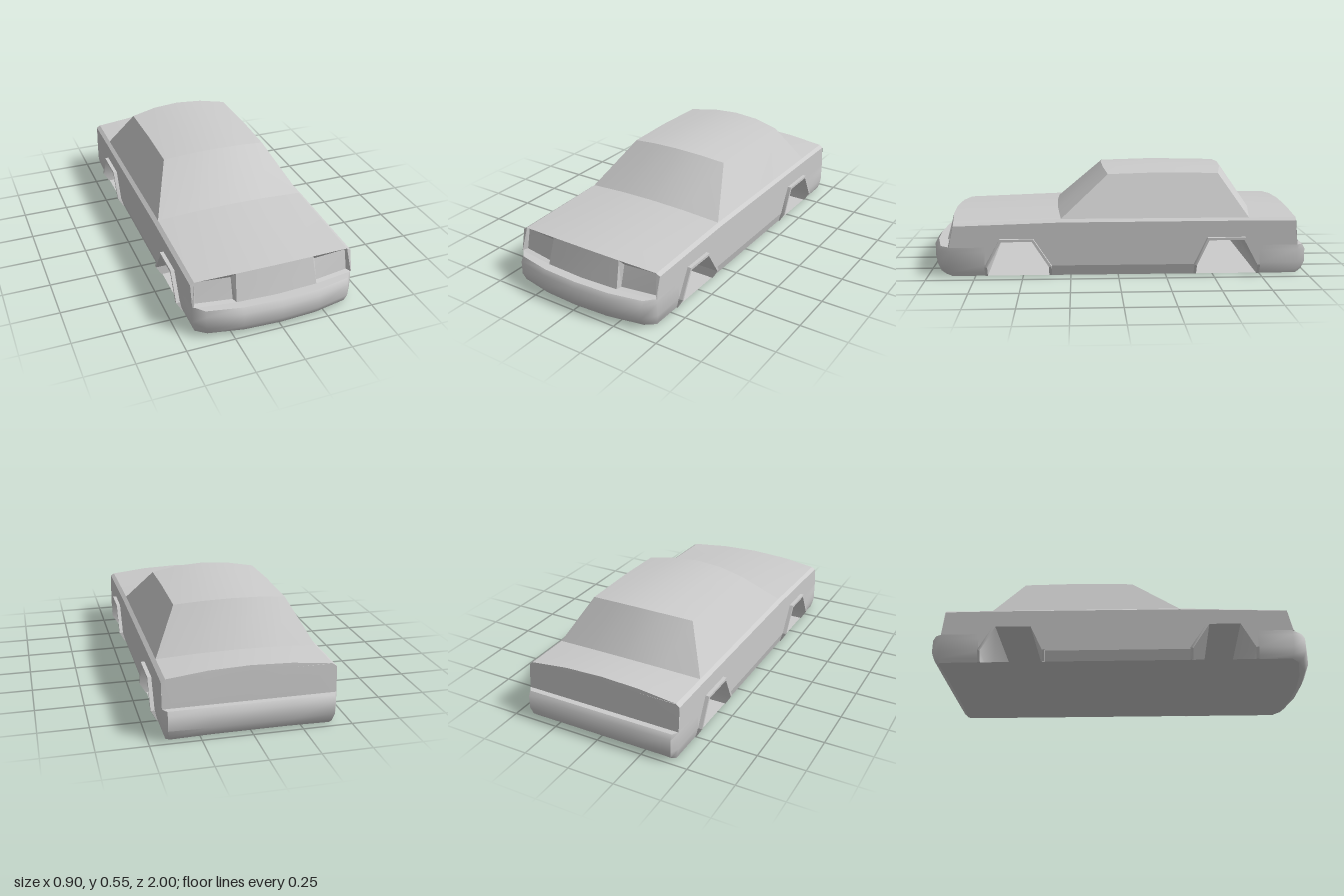
import * as THREE from 'three';
import { toCreasedNormals } from 'three/addons/utils/BufferGeometryUtils.js';

const material = new THREE.MeshStandardMaterial({ color: 0xcccccc, side: THREE.DoubleSide });

// Skin a grid of [x, y, z] points; the outside is rowDirection x columnDirection.
function loft(rows, crease = 0.5) {
  const n = rows[0].length, index = [];
  for (let i = 0; i < rows.length - 1; i++) {
    for (let j = 0; j < n - 1; j++) {
      const a = i * n + j, b = a + n;
      index.push(a, b, a + 1, b, b + 1, a + 1);
    }
  }
  const g = new THREE.BufferGeometry();
  g.setAttribute('position', new THREE.Float32BufferAttribute(rows.flat(2), 3));
  g.setIndex(index);
  return toCreasedNormals(g, crease);
}

const mirrorRow = (row) => row.map(([x, y, z]) => [-x, y, z]).reverse();
const shapeOf = (points) => new THREE.ShapeGeometry(new THREE.Shape(points.map(([u, v]) => new THREE.Vector2(u, v))));

export function createModel() {
  const model = new THREE.Group();
  const add = (name, geometry) => {
    const mesh = new THREE.Mesh(geometry, material);
    mesh.name = name;
    model.add(mesh);
  };
  const addPair = (name, rows, crease) => {
    add('left' + name, loft(rows, crease));
    add('right' + name, loft(rows.map(mirrorRow), crease));
  };

  // Upper skin stations: centre z, side z, centre y, side y, half width
  const hoodFront = [0.89, 0.86, 0.3, 0.28, 0.41];
  const screenBase = [0.325, 0.3, 0.33, 0.3, 0.41];
  const screenTop = [0.08, 0.05, 0.545, 0.517, 0.29];
  const roofMiddle = [-0.22, -0.22, 0.553, 0.525, 0.29];
  const roofRear = [-0.58, -0.54, 0.545, 0.52, 0.29];
  const rearGlassBase = [-0.73, -0.69, 0.33, 0.3, 0.41];
  const trunkEnd = [-0.935, -0.935, 0.33, 0.3, 0.41];
  const station = ([zc, zs, yc, ys, w]) => [1, 0.5, 0, -0.5, -1].map((t) =>
    [w * t, yc + (ys - yc) * t * t, zc + (zs - zc) * t * t]);
  const skin = (name, ...stations) => add(name, loft(stations.map(station)));
  skin('hood', hoodFront, screenBase);
  skin('windshield', screenBase, screenTop);
  skin('roof', screenTop, roofMiddle, roofRear);
  skin('rearWindow', roofRear, rearGlassBase);
  skin('trunkLid', rearGlassBase, trunkEnd);

  // Cabin sides and the bevelled shoulder below them
  addPair('CabinSide', [
    [[0.41, 0.3, -0.69], [0.41, 0.3, -0.22], [0.41, 0.3, 0.3]],
    [[0.29, 0.52, -0.54], [0.29, 0.525, -0.22], [0.29, 0.517, 0.05]],
  ]);
  const belt = [[-0.935, 0.285], [-0.69, 0.287], [0.3, 0.285], [0.86, 0.268]];
  const shoulderY = [0.3, 0.3, 0.3, 0.28];
  addPair('Shoulder', [
    belt.map(([z, y]) => [0.43, y, z]),
    belt.map(([z], i) => [0.41, shoulderY[i], z]),
  ]);

  // Body sides with wheel openings
  const frontArch = [[0.7, 0], [0.7, 0.055], [0.62, 0.2], [0.445, 0.2], [0.35, 0.055], [0.35, 0]];
  const rearArch = [[-0.4, 0], [-0.4, 0.055], [-0.47, 0.2], [-0.67, 0.2], [-0.75, 0.055], [-0.75, 0]];
  const outline = [
    ...belt, [0.885, 0.155], [0.7, 0.155], ...frontArch.slice(1, 5),
    ...rearArch.slice(1, 5), [-0.75, 0.155], [-0.95, 0.155],
  ];
  for (const s of [1, -1]) {
    const side = shapeOf(outline.map(([z, y]) => [-s * z, y]));
    add(s > 0 ? 'leftBodySide' : 'rightBodySide', side.rotateY(s * Math.PI / 2).translate(s * 0.43, 0, 0));
  }
  addPair('Sill', [
    [[0.415, 0, -0.4], [0.415, 0, 0.35]],
    [[0.43, 0.055, -0.4], [0.43, 0.055, 0.35]],
  ]);

  // Arch flares, whose inner lips run on as tunnels to the middle of the car
  for (const [name, arch] of [['FrontWheelArch', frontArch], ['RearWheelArch', rearArch]]) {
    const centre = (arch[0][0] + arch[5][0]) / 2;
    const inner = arch.map(([z, y]) => [centre + (z - centre) * 0.92, y * 0.935]);
    const ring = (points, x, xLow) => points.map(([z, y]) => [y > 0 ? x : xLow, y, z]);
    addPair(name, [
      ring(arch, 0.43, 0.415), ring(arch, 0.45, 0.42),
      ring(inner, 0.45, 0.42), ring(inner, 0, 0),
    ]);
  }

  // Bumpers: half plan as [x, z, forward share of the inset]
  const section = [[0, 0.015, 0.05], [0.02, 0.008, 0.02], [0.06, 0, 0], [0.13, 0, 0], [0.155, 0, 0.02]];
  const bumper = (half, s) => {
    const plan = [...half, ...half.slice(0, -1).reverse().map(([x, z, f]) => [-x, z, f])];
    return section.map(([y, dx, dz]) => plan.map(([x, z, f]) =>
      [x - Math.sign(x) * dx, y, z - s * dz * f]));
  };
  const front = bumper([[0.43, 0.7, 0], [0.43, 0.88, 0.2], [0.38, 0.95, 0.8], [0.2, 0.99, 1], [0, 1, 1]], 1);
  const rear = bumper([[0.43, -0.75, 0], [0.43, -0.95, 0.1], [0.41, -0.993, 0.7], [0.2, -1, 1], [0, -1, 1]], -1);
  add('frontBumper', loft(front, 1));
  add('rearBumper', loft(rear.map((row) => [...row].reverse()), 1));
  for (const [name, rows] of [['frontBumperTop', front], ['rearBumperTop', rear]]) {
    const top = shapeOf(rows[4].map(([x, , z]) => [x, -z]));
    add(name, top.rotateX(-Math.PI / 2).translate(0, 0.155, 0));
  }

  // Flat floor joining the two bumper outlines
  const floor = [...front[0], ...[...rear[0]].reverse()].map(([x, , z]) => [x, z]);
  add('floor', shapeOf(floor).rotateX(Math.PI / 2));

  // Grille and recessed headlamps
  const grilleTop = [0.205, 0.295, 0.8825], grilleBottom = [0.215, 0.155, 0.92];
  const lampTop = [0.41, 0.28, 0.86], lampBottom = [0.425, 0.155, 0.89];
  const flip = ([x, y, z]) => [-x, y, z];
  add('grille', loft([
    [flip(grilleTop), [0, 0.3, 0.89], grilleTop],
    [flip(grilleBottom), [0, 0.155, 0.93], grilleBottom],
  ]));
  const rim = [grilleTop, lampTop, lampBottom, grilleBottom];
  const lens = [[0.225, 0.27, 0.865], [0.405, 0.27, 0.845], [0.41, 0.16, 0.865], [0.225, 0.16, 0.895]];
  addPair('HeadlampFrame', [[...rim, rim[0]], [...lens, lens[0]]], 0.2);
  addPair('Headlamp', [[lens[0], lens[1]], [lens[3], lens[2]]]);
  addPair('FrontCorner', [[lampTop, [0.43, 0.268, 0.86]], [lampBottom, [0.43, 0.155, 0.885]]]);

  // Tail panel under the arched trunk edge
  const edge = station(trunkEnd).map(([x, y, z]) => [x, y, z]);
  edge.unshift([0.43, 0.285, -0.935]);
  edge.push([-0.43, 0.285, -0.935]);
  add('tailPanel', loft([
    edge,
    edge.map(([x, y]) => [x, Math.min(y, 0.3), -0.938]),
    edge.map(([x]) => [Math.abs(x) === 0.41 ? x * 1.02 : x, 0.155, -0.95]),
  ], 0.2));

  return model;
}
